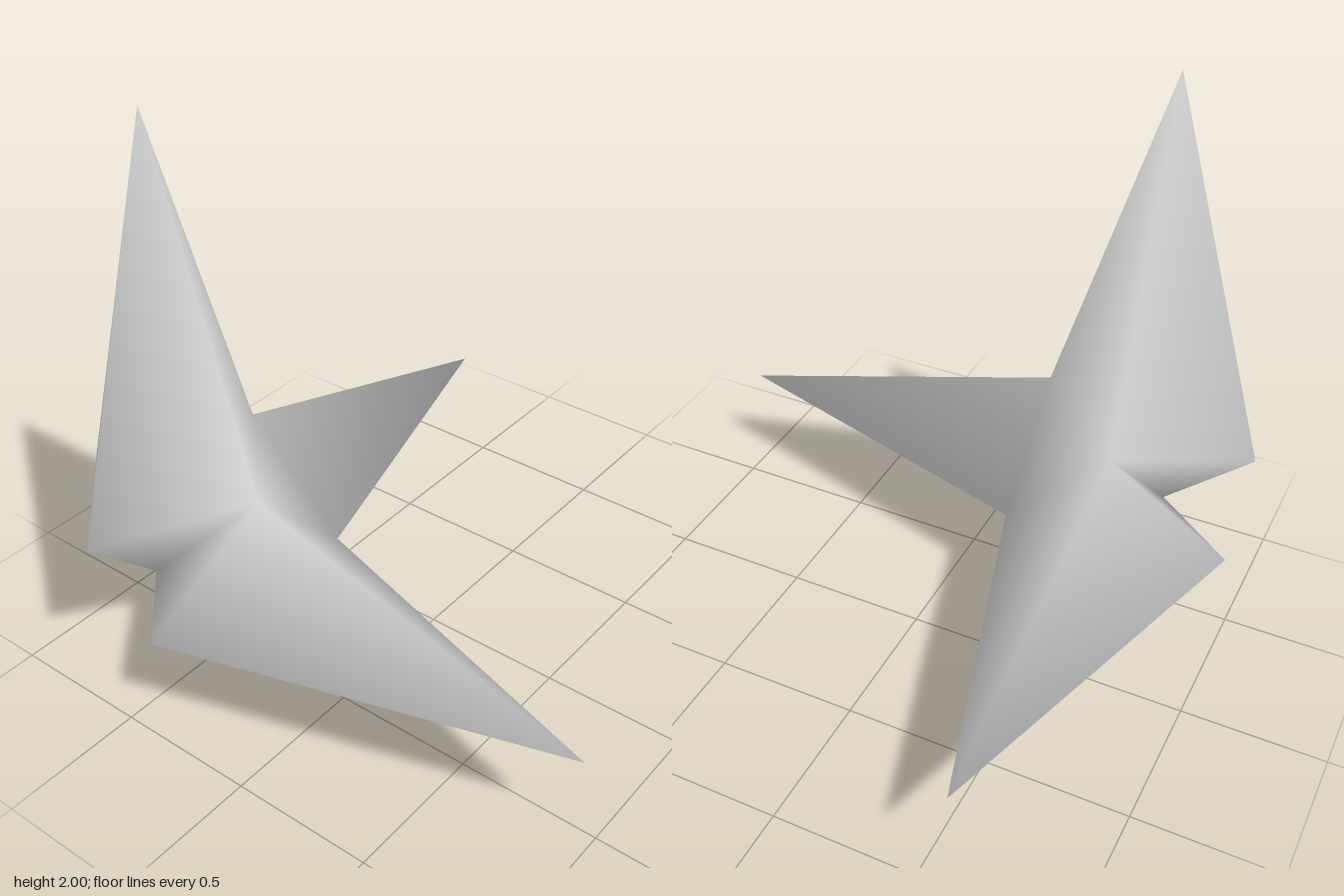
import * as THREE from 'three';

// One smooth shell: three equal four-sided spikes along +y, +z and +x,
// sharing a front facet and a single inner corner at the back.
export function createModel() {
  const group = new THREE.Group();
  const grey = new THREE.MeshStandardMaterial({ color: 0xcccccc });
  grey.name = 'light grey';

  // rotate a point about the (1,1,1) diagonal: x -> y -> z -> x
  const turn = ([x, y, z], n) => (n === 0 ? [x, y, z] : turn([z, x, y], n - 1));

  // each spike owns: tip, valley corner towards the next spike, two rear base corners
  const tip = [0, 1.6, 0];
  const valley = [0, 0.365, 0.365];
  const rearA = [0, 0.25, -0.4];
  const rearB = [-0.4, 0.25, 0];

  const positions = [-0.075, -0.075, -0.075]; // inner back corner, index 0
  const indices = [];
  for (let i = 0; i < 3; i++) {
    for (const p of [tip, valley, rearA, rearB]) positions.push(...turn(p, i));
    const t = 1 + i * 4;
    const b = t + 1, r = t + 2, s = t + 3;
    const a = 2 + ((i + 2) % 3) * 4; // valley shared with the previous spike
    // spike sides
    indices.push(t, a, r, t, r, s, t, s, b, t, b, a);
    // undercut faces running in to the back corner
    indices.push(r, a, 0, s, r, 0, b, s, 0);
  }
  // front facet between the three valleys
  indices.push(10, 2, 6);

  const geometry = new THREE.BufferGeometry();
  geometry.setAttribute('position', new THREE.Float32BufferAttribute(positions, 3));
  geometry.setIndex(indices);
  geometry.computeVertexNormals();

  const spikes = new THREE.Mesh(geometry, grey);
  spikes.name = 'threeSpikes';
  spikes.position.set(-0.6, 0.4, -0.6);
  group.add(spikes);
  return group;
}
